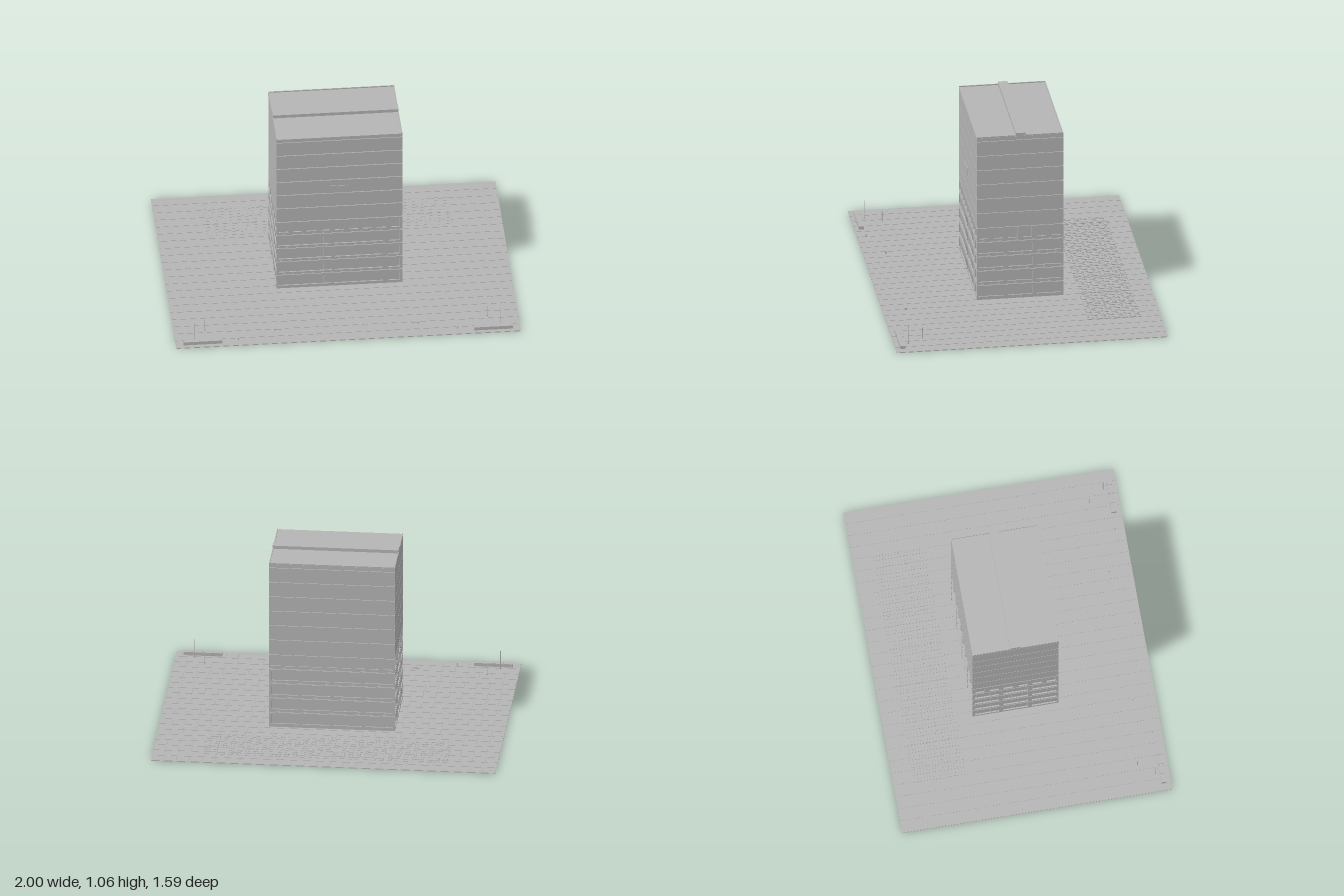
import * as THREE from 'three';
import { mergeGeometries } from 'three/addons/utils/BufferGeometryUtils.js';

const grey = new THREE.MeshStandardMaterial({ color: 0xb4b4b4 });
grey.name = 'concrete grey';

// Box geometry given by its limits on each axis
function span(x0, x1, y0, y1, z0, z1) {
  return new THREE.BoxGeometry(x1 - x0, y1 - y0, z1 - z0)
    .translate((x0 + x1) / 2, (y0 + y1) / 2, (z0 + z1) / 2);
}

// Wall plate with rectangular holes [u0, u1, v0, v1]; outer face at local z = 0
function wallPlate(width, height, holes, depth) {
  const w = width / 2;
  const shape = new THREE.Shape([[-w, 0], [w, 0], [w, height], [-w, height]]
    .map(p => new THREE.Vector2(...p)));
  for (const [u0, u1, v0, v1] of holes) {
    shape.holes.push(new THREE.Path([[u0, v0], [u0, v1], [u1, v1], [u1, v0]]
      .map(p => new THREE.Vector2(...p))));
  }
  return new THREE.ExtrudeGeometry(shape, { depth, bevelEnabled: false })
    .translate(0, 0, -depth).toNonIndexed?.() ;
}

// Evenly spaced openings across a wall
function windowRow(width, count, size, v0, v1) {
  const step = width / count;
  return Array.from({ length: count }, (_, i) => {
    const c = -width / 2 + (i + 0.5) * step;
    return [c - size / 2, c + size / 2, v0, v1];
  });
}

export function createModel() {
  const model = new THREE.Group();
  const add = (name, parts, parent = model) => {
    const list = parts.map(g => (g.index ? g.toNonIndexed() : g));
    const mesh = new THREE.Mesh(list.length > 1 ? mergeGeometries(list) : list[0], grey);
    mesh.name = name;
    parent.add(mesh);
    return mesh;
  };

  // Paved plaza: base slab with 27 x 21 slabs separated by narrow seams
  add('plazaBase', [span(-1, 1, 0, 0.002, -0.795, 0.79)]);
  const tiles = [], tx = 2 / 27, tz = 1.585 / 21, seam = 0.002;
  for (let i = 0; i < 27; i++) {
    for (let j = 0; j < 21; j++) {
      const x = -1 + i * tx, z = -0.795 + j * tz;
      tiles.push(span(x + seam, x + tx - seam, 0.001, 0.004, z + seam, z + tz - seam));
    }
  }
  add('pavingTiles', tiles);

  // Rows of raised grating behind the building
  const grating = [];
  for (let i = 0; i < 31; i++) {
    const x = -0.695 + i * 0.0461;
    for (let j = 0; j < 10; j++) {
      const z = -0.663 + j * 0.031;
      grating.push(span(x - 0.013, x + 0.013, 0.003, 0.006, z - 0.012, z + 0.012));
    }
    for (const s of [-1, 1]) {
      grating.push(span(x + s * 0.009 - 0.0015, x + s * 0.009 + 0.0015, 0.003, 0.007, -0.677, -0.37));
    }
  }
  add('rearGrating', grating);

  // Tower
  const tower = new THREE.Group();
  tower.name = 'tower';
  model.add(tower);
  const X0 = -0.367, X1 = 0.363, Z0 = -0.273, Z1 = 0.231;
  const W = X1 - X0, D = Z1 - Z0, cx = (X0 + X1) / 2, cz = (Z0 + Z1) / 2;
  const inset = 0.006, floor = 0.0908, base = 0.02;
  add('core', [span(X0 + inset, X1 - inset, 0.016, 1.03, Z0 + inset, Z1 - inset)], tower);
  add('plinth', [span(X0, X1, 0.015, base, Z0, Z1)], tower);

  const sides = [
    { name: 'front', w: W, x: cx, z: Z1, turn: 0 },
    { name: 'left', w: D, x: X1, z: cz, turn: Math.PI / 2 },
    { name: 'back', w: W, x: cx, z: Z0, turn: Math.PI },
    { name: 'right', w: D, x: X0, z: cz, turn: -Math.PI / 2 },
  ];

  // Five glazed lower storeys
  for (let f = 0; f < 5; f++) {
    const y = base + f * floor;
    for (const s of sides) {
      const long = s.w > 0.6;
      const h = floor - 0.007;
      let holes;
      if (f === 4) {
        holes = windowRow(s.w, long ? 9 : 6, 0.052, 0.016, h - 0.01);
      } else if (s.name === 'front') {
        holes = [[-0.355, -0.045, 0.014, h - 0.012], [-0.03, 0.25, 0.014, h - 0.012],
          [0.285, 0.35, 0.014, h - 0.012]];
      } else {
        holes = windowRow(s.w, long ? 4 : 3, s.w / (long ? 4 : 3) - 0.025, 0.016, h - 0.014);
      }
      const place = g => g.rotateY(s.turn).translate(s.x, y, s.z);
      const parts = [place(wallPlate(s.w, h, holes, inset))];
      // Mullions and sills within the openings
      for (const [u0, u1, v0, v1] of holes) {
        const n = Math.max(1, Math.round((u1 - u0) / 0.045));
        for (let k = 1; k < n; k++) {
          const u = u0 + (u1 - u0) * k / n;
          parts.push(place(span(u - 0.0015, u + 0.0015, v0, v1, -inset, -0.002)));
        }
        parts.push(place(span(u0 - 0.002, u1 + 0.002, v0 - 0.003, v0, -0.003, 0.002)));
      }
      add(`${s.name}WindowWall${f + 1}`, parts, tower);
    }
  }

  // Narrow ledges below each floor line of the glazed storeys
  const ledges = [];
  for (let f = 1; f < 5; f++) {
    const y = base + f * floor - 0.005;
    ledges.push(span(X0 + 0.002, X1 - 0.002, y, y + 0.003, Z0 + 0.002, Z1 - 0.002));
  }
  add('floorLedges', ledges, tower);

  // Plain upper storeys separated by shadow joints
  const cladding = [];
  for (let f = 5; f < 11; f++) {
    const y = base + f * floor;
    cladding.push(span(X0, X1, y, y + floor - 0.004, Z0, Z1));
  }
  add('upperCladding', cladding, tower);

  // Roof slab, edge rims and raised central ridge
  const top = base + 11 * floor;
  add('roofSlab', [span(X0 - 0.001, X1 + 0.001, top, 1.04, Z0 - 0.001, Z1 + 0.001)], tower);
  add('roofRims', [
    span(X0, X0 + 0.005, 1.035, 1.046, Z0, Z1),
    span(X1 - 0.005, X1, 1.035, 1.046, Z0, Z1),
    span(X0, X1, 1.035, 1.046, Z0, Z0 + 0.005),
  ], tower);
  add('roofRidge', [span(X0, X1, 1.03, 1.059, -0.052, 0.003)], tower);

  // Framed board on the front wall
  add('frontBoard', [
    span(-0.055, 0.05, 0.662, 0.71, 0.238, 0.242),
    span(-0.045, -0.039, 0.675, 0.681, 0.228, 0.239),
    span(0.034, 0.04, 0.675, 0.681, 0.228, 0.239),
  ], tower);

  // Street furniture, mirrored left and right
  for (const s of [-1, 1]) {
    const side = new THREE.Group();
    side.name = s > 0 ? 'leftFurniture' : 'rightFurniture';
    model.add(side);
    const planters = [];
    for (let i = 0; i < 4; i++) {
      const x = s * (0.758 + i * 0.057);
      planters.push(span(x - 0.027, x + 0.027, 0.003, 0.024, 0.732, 0.763));
    }
    planters.push(span(s * 0.843 - 0.11, s * 0.843 + 0.11, 0.003, 0.019, 0.736, 0.759));
    add('planters', planters, side);

    const pole = (x, z, h, r) => new THREE.CylinderGeometry(r, r, h, 8).translate(s * x, h / 2, z);
    add('lampPosts', [
      pole(0.887, 0.708, 0.117, 0.002), pole(0.82, 0.615, 0.072, 0.002),
      pole(0.887, 0.708, 0.01, 0.004), pole(0.82, 0.615, 0.01, 0.004),
    ], side);
    add('bollards', [pole(0.635, 0.735, 0.018, 0.002)], side);

    const bx = s * 0.4;
    add('bench', [
      span(bx - 0.021, bx + 0.021, 0.013, 0.017, 0.648, 0.662),
      span(bx - 0.019, bx - 0.015, 0.003, 0.014, 0.65, 0.66),
      span(bx + 0.015, bx + 0.019, 0.003, 0.014, 0.65, 0.66),
    ], side);
  }
  return model;
}
